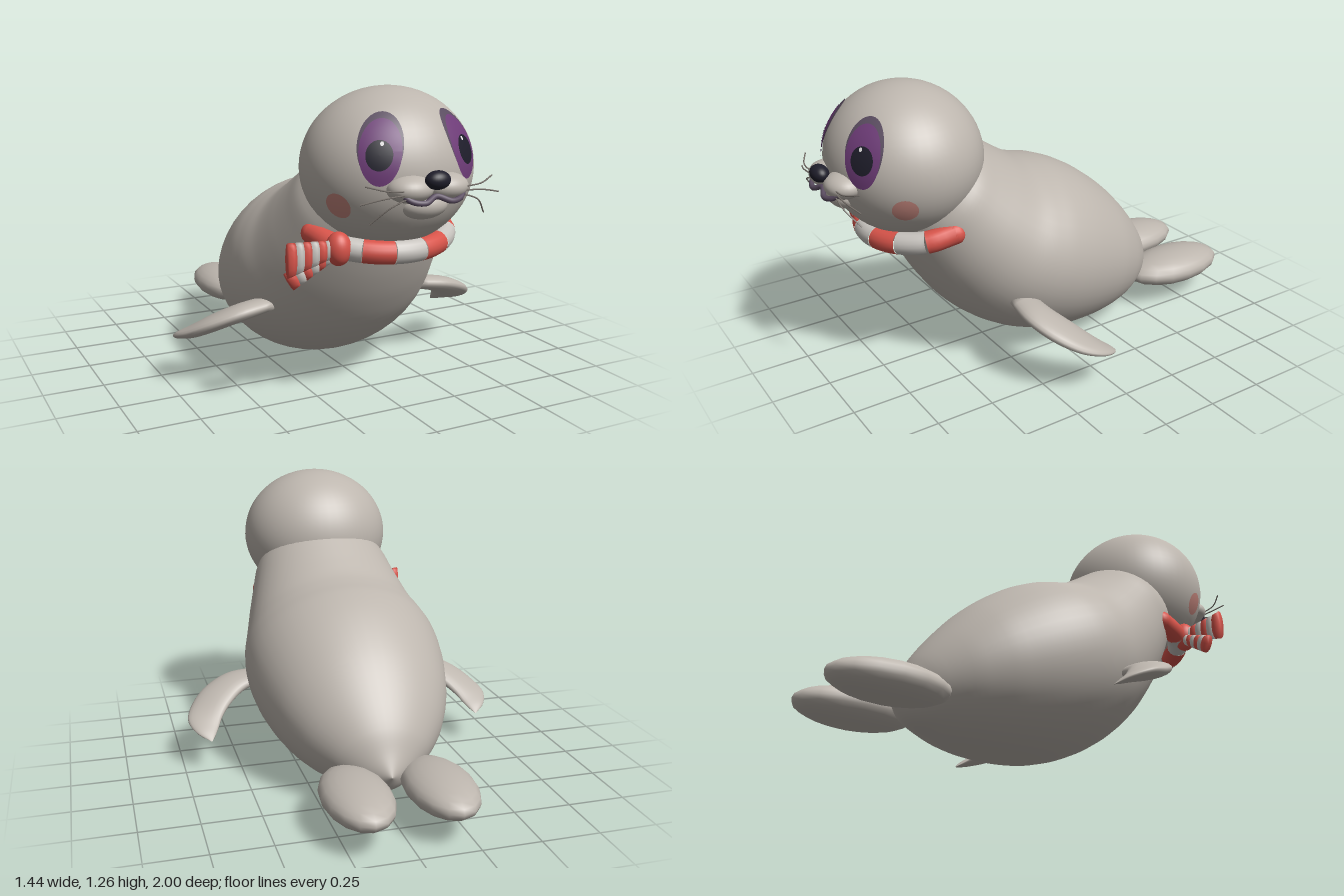
import * as THREE from 'three';

const V = (x, y, z) => new THREE.Vector3(x, y, z);
const mat = (name, color) => {
  const m = new THREE.MeshStandardMaterial({ color });
  m.name = name;
  return m;
};

// Skin oval rings between two edge curves; `half` is the half thickness along `axis`.
function loft(edgeA, edgeB, half, axis, steps = 24, sides = 32) {
  const curve = pts => new THREE.CatmullRomCurve3(pts.map(p => V(...p)));
  const A = curve(edgeA), B = curve(edgeB), H = curve(half.map((h, i) => [h, i * 0.1, 0]));
  const pos = [], idx = [], ringCentres = [];
  for (let i = 0; i <= steps; i++) {
    const t = i / steps, a = A.getPoint(t), b = B.getPoint(t);
    const c = a.clone().add(b).multiplyScalar(0.5), u = a.sub(b).multiplyScalar(0.5);
    const h = Math.max(0, H.getPoint(t).x);
    ringCentres.push(c);
    for (let j = 0; j < sides; j++) {
      const w = j / sides * Math.PI * 2;
      const p = c.clone().addScaledVector(u, Math.cos(w)).addScaledVector(axis, h * Math.sin(w));
      pos.push(p.x, p.y, p.z);
    }
  }
  for (let i = 0; i < steps; i++) for (let j = 0; j < sides; j++) {
    const k = (j + 1) % sides, a = i * sides + j, b = i * sides + k;
    idx.push(a, b, a + sides, b, b + sides, a + sides);
  }
  // end caps
  const first = pos.length / 3, last = steps * sides;
  for (const c of [ringCentres[0], ringCentres[steps]]) pos.push(c.x, c.y, c.z);
  for (let j = 0; j < sides; j++) {
    const k = (j + 1) % sides;
    idx.push(first, k, j, first + 1, last + j, last + k);
  }
  // turn the faces outward if the enclosed volume is negative
  let volume = 0;
  const o = ringCentres[0], at = n => V(pos[n * 3], pos[n * 3 + 1], pos[n * 3 + 2]).sub(o);
  for (let i = 0; i < idx.length; i += 3) volume += at(idx[i]).dot(at(idx[i + 1]).cross(at(idx[i + 2])));
  if (volume < 0) idx.reverse();
  const g = new THREE.BufferGeometry();
  g.setAttribute('position', new THREE.Float32BufferAttribute(pos, 3));
  g.setIndex(idx);
  g.computeVertexNormals();
  return g;
}

const headCentre = V(0, 0.95, 0.6), headRadii = V(0.345, 0.31, 0.32);

// Thin oval patch lying on the head, centred on direction (x, y), sized in head radii.
function headPatch(x, y, rx, ry, lift) {
  const c = V(x, y, Math.sqrt(1 - x * x - y * y));
  const right = V(c.z, 0, -c.x).normalize(), up = c.clone().cross(right);
  const g = new THREE.RingGeometry(0.001, 1, 36, 6), p = g.attributes.position;
  for (let i = 0; i < p.count; i++) {
    const q = c.clone().addScaledVector(right, p.getX(i) * rx).addScaledVector(up, p.getY(i) * ry);
    q.normalize().multiplyScalar(1 + lift).multiply(headRadii).add(headCentre);
    p.setXYZ(i, q.x, q.y, q.z);
  }
  g.computeVertexNormals();
  return g;
}

export function createModel() {
  const model = new THREE.Group();
  model.name = 'seal';
  const fur = mat('warm grey fur', 0xbdb6ae), red = mat('scarf red', 0xd8544a);
  const pale = mat('scarf pale', 0xc8c4bf), purple = mat('iris purple', 0x6e3c78);
  const rim = mat('dusky purple', 0x5a4c60), dark = mat('near black', 0x1f1e2b);
  const blush = mat('cheek blush', 0xc4867d), white = mat('eye glint', 0xf2f0f0);
  const whiskerGrey = mat('whisker grey', 0x7c756f);

  const add = (name, geometry, material) => {
    const m = new THREE.Mesh(geometry, material);
    m.name = name;
    model.add(m);
    return m;
  };
  const ball = (name, material, at, radii, ws = 32, hs = 20) => {
    const m = add(name, new THREE.SphereGeometry(1, ws, hs), material);
    m.position.set(...at);
    m.scale.set(...radii);
    return m;
  };
  const tube = (name, material, pts, r, seg = 16, sides = 8) =>
    add(name, new THREE.TubeGeometry(new THREE.CatmullRomCurve3(pts.map(p => V(...p))), seg, r, sides), material);

  // body: back line, belly line (y, z) and half width
  const back = [[0.18, -0.665], [0.26, -0.625], [0.36, -0.58], [0.5, -0.48], [0.63, -0.36], [0.75, -0.2],
    [0.81, -0.07], [0.83, 0.015], [0.85, 0.08], [0.895, 0.16], [0.94, 0.23], [0.98, 0.29], [1.02, 0.35]];
  const belly = [[0.18, -0.665], [0.09, -0.59], [0.05, -0.47], [0.02, -0.35], [0.003, -0.2], [0.012, 0],
    [0.06, 0.17], [0.14, 0.32], [0.25, 0.45], [0.38, 0.55], [0.5, 0.62], [0.62, 0.675], [0.7, 0.71]];
  const widths = [0, 0.09, 0.2, 0.3, 0.375, 0.43, 0.45, 0.44, 0.41, 0.378, 0.348, 0.32, 0.28];
  const onMid = l => l.map(([y, z]) => [0, y, z]);
  add('body', loft(onMid(back), onMid(belly), widths, V(1, 0, 0), 60, 48), fur);

  ball('head', fur, headCentre.toArray(), headRadii.toArray(), 48, 32);
  ball('nose', dark, [0, 0.95, 0.962], [0.05, 0.035, 0.036]);
  ball('chin', fur, [0, 0.845, 0.865], [0.1, 0.055, 0.07]);
  tube('mouth', rim, [[-0.13, 0.9, 0.935], [-0.1, 0.878, 0.96], [-0.055, 0.872, 0.972], [0, 0.89, 0.955],
    [0.055, 0.872, 0.972], [0.1, 0.878, 0.96], [0.13, 0.9, 0.935]], 0.011, 40);

  for (const s of [1, -1]) {
    const side = s > 0 ? 'left ' : 'right ';
    const flip = pts => pts.map(([x, y, z]) => [x * s, y, z]);

    // face
    add(side + 'eyelid', headPatch(0.5 * s, 0.39, 0.255, 0.47, 0.012), rim);
    add(side + 'iris', headPatch(0.51 * s, 0.325, 0.235, 0.43, 0.018), purple);
    add(side + 'pupil', headPatch(0.525 * s, 0.275, 0.145, 0.18, 0.024), dark);
    add(side + 'glint', headPatch(0.48 * s, 0.4, 0.02, 0.028, 0.028), white);
    add(side + 'cheek', headPatch(0.825 * s, -0.355, 0.16, 0.17, 0.006), blush);
    ball(side + 'muzzle', fur, [0.075 * s, 0.913, 0.895], [0.09, 0.052, 0.078]);
    const tips = [[0.27, 0.94, 0.915], [0.295, 0.878, 0.925], [0.245, 0.8, 0.905]];
    tips.forEach(([x, y, z], i) => tube(side + 'whisker', whiskerGrey, flip([[0.11, 0.915 - i * 0.012, 0.95],
      [(0.12 + x) / 2, (0.912 + y) / 2 - 0.004 + i * 0.006, 0.95], [x, y, z]]), 0.003, 10, 5));

    // front flipper: leading edge, trailing edge, thickness
    const lead = [[0.36, 0.35, 0.32], [0.5, 0.33, 0.33], [0.62, 0.285, 0.28], [0.695, 0.235, 0.19],
      [0.72, 0.205, 0.1], [0.69, 0.175, 0.02], [0.635, 0.15, -0.025]];
    const trail = [[0.36, 0.34, 0.2], [0.45, 0.315, 0.18], [0.53, 0.265, 0.12], [0.57, 0.225, 0.075],
      [0.59, 0.195, 0.04], [0.61, 0.17, 0.005], [0.63, 0.15, -0.025]];
    add(side + 'front flipper', loft(flip(lead), flip(trail), [0.032, 0.038, 0.038, 0.032, 0.024, 0.014, 0],
      V(0.4 * s, 0.9, 0), 28, 20), fur);

    // tail flipper
    ball(side + 'tail flipper', fur, [0.173 * s, 0.158, -0.74], [0.142, 0.078, 0.26], 16, 12);
  }

  // scarf collar in seven stripes, round the front of the neck
  const collar = new THREE.CatmullRomCurve3([[0.285, 0.695, 0.53], [0.25, 0.668, 0.64], [0.14, 0.65, 0.735],
    [0, 0.645, 0.77], [-0.14, 0.65, 0.735], [-0.25, 0.668, 0.64], [-0.285, 0.695, 0.53]].map(p => V(...p)));
  for (let i = 0; i < 7; i++) {
    const pts = [0, 1, 2, 3, 4].map(k => collar.getPointAt((i + k / 4) / 7).toArray());
    tube('scarf stripe', i % 2 ? pale : red, pts, 0.046, 8, 16);
  }
  for (const s of [1, -1]) ball('scarf end', red, [0.285 * s, 0.695, 0.53], [0.046, 0.046, 0.046], 16, 12);
  ball('scarf knot', red, [-0.255, 0.665, 0.69], [0.05, 0.066, 0.05]);

  // two flared scarf tails, striped along their length
  const tail = (name, topStart, topEnd, lowStart, lowEnd, n) => {
    for (let i = 0; i < n; i++) {
      const cut = (a, b) => [i / n, (i + 1) / n].map(t => V(...a).lerp(V(...b), t).toArray());
      add(name, loft(cut(topStart, topEnd), cut(lowStart, lowEnd), [0.02, 0.02], V(0, 0, 1), 2, 12), i % 2 ? red : pale);
    }
  };
  tail('upper scarf tail', [-0.28, 0.7, 0.69], [-0.475, 0.715, 0.71], [-0.28, 0.63, 0.69], [-0.475, 0.58, 0.71], 6);
  tail('lower scarf tail', [-0.28, 0.665, 0.675], [-0.465, 0.585, 0.655], [-0.28, 0.61, 0.675], [-0.425, 0.515, 0.655], 6);

  return model;
}
